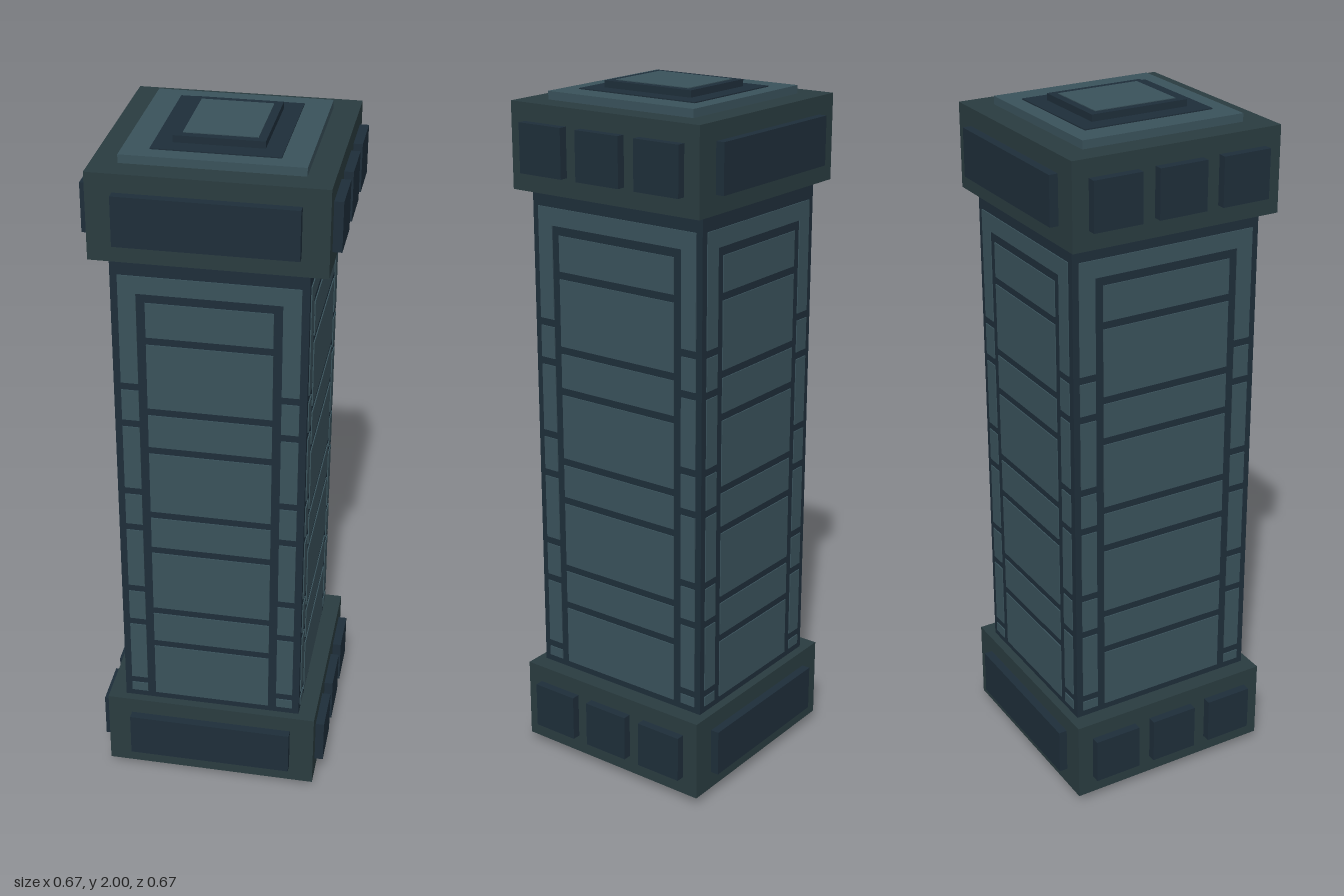
import * as THREE from 'three';

const mat = (color) => new THREE.MeshStandardMaterial({ color, flatShading: true });

export function createModel() {
  const pillar = new THREE.Group();
  pillar.name = 'pillar';
  const light = mat(0x3a525b), dark = mat(0x1e2e3a), stone = mat(0x2a3c40);
  const skin = 0.003; // thickness of the flush inlays

  // Box given by its half extents in x and z and its y range
  function box(parent, name, material, hx, hz, y0, y1, x = 0, z = 0) {
    const mesh = new THREE.Mesh(new THREE.BoxGeometry(hx * 2, y1 - y0, hz * 2), material);
    mesh.position.set(x, (y0 + y1) / 2, z);
    mesh.name = name;
    parent.add(mesh);
    return mesh;
  }

  // Shaft
  const HX = 0.262, HZ = 0.287;
  box(pillar, 'shaftCore', dark, HX, HZ, 0.26, 1.715);

  // Light brick inlays on each shaft face, separated by dark joints
  const bottom = 0.285, top = 1.665, joint = 0.011;
  const innerJoints = [1.478, 1.262, 1.14, 0.927, 0.807, 0.592, 0.472];
  const outerJoints = [1.335, 1.22, 1.0, 0.879, 0.664, 0.544, 0.325];

  function column(face, name, joints, yTop, x, halfWidth, z) {
    let y1 = yTop;
    for (const j of [...joints, bottom - joint]) {
      box(face, name, light, halfWidth, skin / 2, j + joint, y1, x, z);
      y1 = j - joint;
    }
  }

  function shaftFace(name, half, depth, turn) {
    const face = new THREE.Group();
    const z = depth + skin / 2;
    face.name = name;
    box(face, 'topBand', light, half, skin / 2, 1.615, top, 0, z);
    column(face, 'panelBrick', innerJoints, 1.59, 0, half - 0.072, z);
    for (const s of [-1, 1]) column(face, 'edgeBrick', outerJoints, 1.615, s * (half - 0.024), 0.024, z);
    face.rotation.y = turn;
    pillar.add(face);
  }
  shaftFace('frontShaftFace', 0.242, HZ, 0);
  shaftFace('backShaftFace', 0.242, HZ, Math.PI);
  shaftFace('leftShaftFace', 0.268, HX, Math.PI / 2);
  shaftFace('rightShaftFace', 0.268, HX, -Math.PI / 2);

  // Base and capital with raised plates: one on front and back, three on the sides
  function block(name, y0) {
    const group = new THREE.Group();
    group.name = name;
    box(group, name + 'Block', stone, 0.312, 0.312, y0, y0 + 0.24);
    const p0 = y0 + 0.053, p1 = y0 + 0.19;
    for (const s of [-1, 1]) {
      box(group, 'widePlate', dark, 0.241, 0.0175, p0, p1, 0, s * 0.3195);
      for (const z of [-0.193, 0, 0.193])
        box(group, 'sidePlate', dark, 0.0175, 0.0715, p0, p1, s * 0.3195, z);
    }
    pillar.add(group);
  }
  block('base', 0.025);
  block('capital', 1.713);

  // Stepped top
  box(pillar, 'topSlab', light, 0.241, 0.241, 1.94, 1.976);
  box(pillar, 'topInlay', dark, 0.169, 0.193, 1.97, 1.976 + skin);
  box(pillar, 'topPlate', dark, 0.12, 0.144, 1.97, 1.998);
  box(pillar, 'topPlateInlay', light, 0.098, 0.122, 1.99, 2.0);

  // Underside
  box(pillar, 'footSlab', light, 0.241, 0.241, 0.004, 0.04);
  box(pillar, 'footInlay', dark, 0.169, 0.193, 0.002, 0.02);
  box(pillar, 'footInlayCentre', light, 0.098, 0.122, 0, 0.02);

  return pillar;
}
